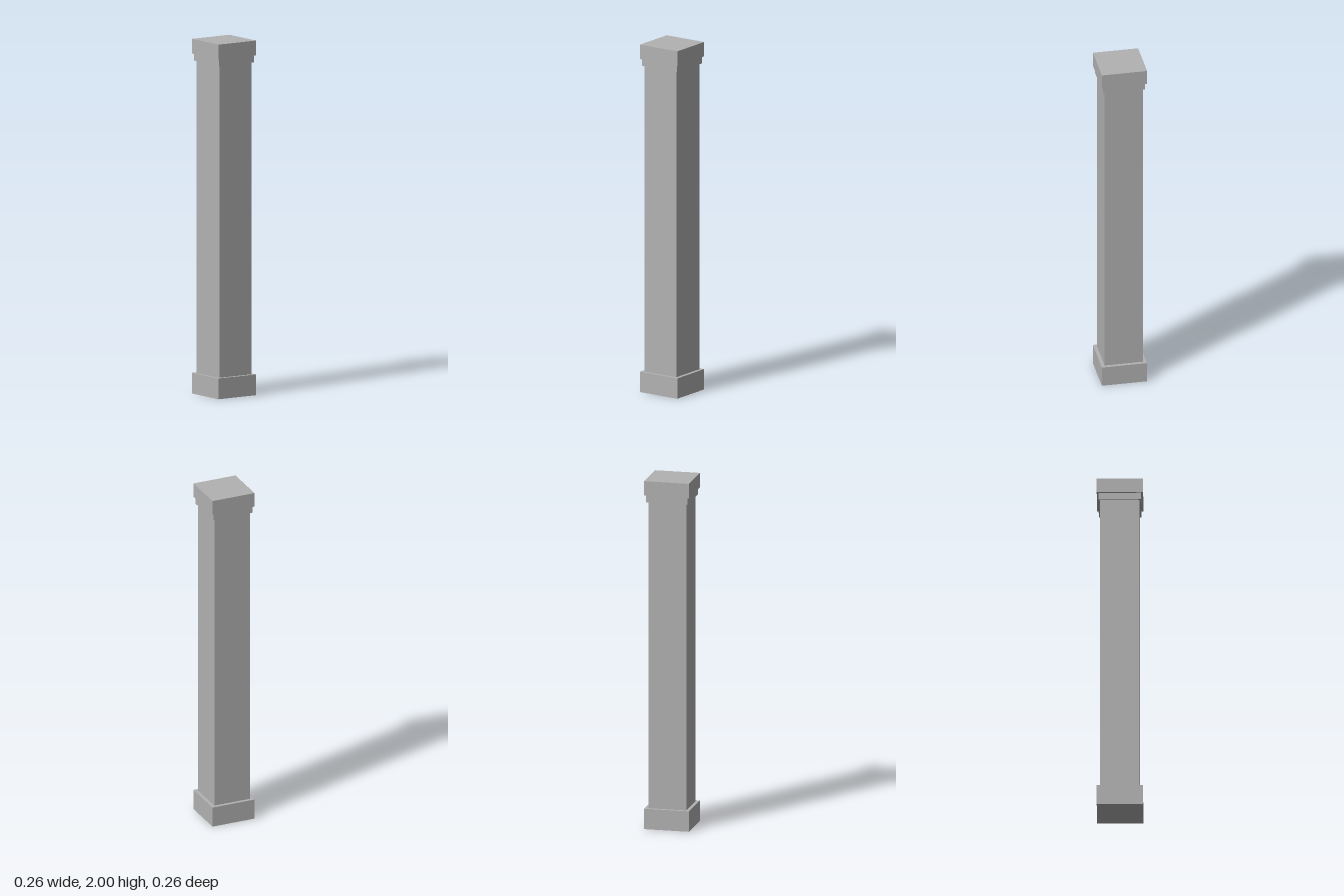
import * as THREE from 'three';

export function createModel() {
  const model = new THREE.Group();
  model.name = 'squareColumn';
  const stone = new THREE.MeshStandardMaterial({ color: 0xb2b2b2 });
  stone.name = 'grey stone';

  // A square block from height y0 to y1
  const block = (name, width, y0, y1) => {
    const mesh = new THREE.Mesh(new THREE.BoxGeometry(width, y1 - y0, width), stone);
    mesh.position.y = (y0 + y1) / 2;
    mesh.name = name;
    model.add(mesh);
  };

  block('base', 0.257, 0, 0.117);
  block('shaft', 0.218, 0.117, 1.877);
  block('neckMoulding', 0.238, 1.877, 1.917);
  block('capital', 0.257, 1.917, 2);
  return model;
}
